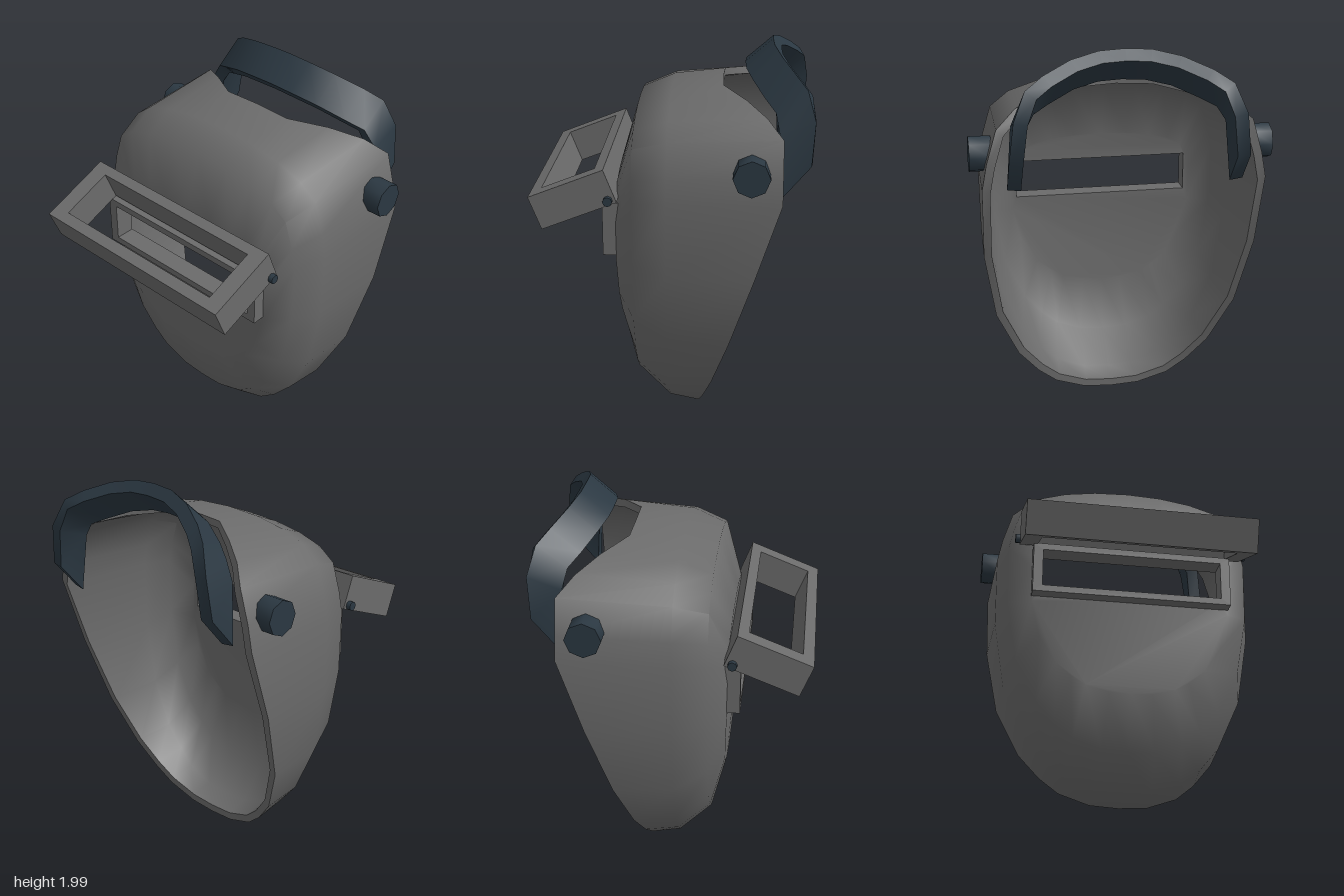
import * as THREE from 'three';
import { toCreasedNormals } from 'three/addons/utils/BufferGeometryUtils.js';

const shellGrey = new THREE.MeshStandardMaterial({ color: 0x6b6b6b });
shellGrey.name = 'shell grey';
const slateBlue = new THREE.MeshStandardMaterial({ color: 0x2b3842 });
slateBlue.name = 'dark slate';

const WINDOW = { x: 0.47, y0: 1.035, y1: 1.24 };

// Right half of the mask outline from chin to crown: x, y, z of the rear rim
const OUTLINE = [
  [0, 0.01, -0.11], [0.15, 0.02, -0.113], [0.31, 0.08, -0.133], [0.41, 0.165, -0.16],
  [0.52, 0.3, -0.204], [0.64, 0.57, -0.291], [0.7, 0.95, -0.414], [0.705, 1.34, -0.54],
  [0.68, 1.47, -0.54], [0.63, 1.64, -0.54], [0.53, 1.72, -0.46], [0.38, 1.77, -0.36],
  [0.2, 1.8, -0.245], [0, 1.81, -0.24],
];
const LOOP = [...OUTLINE, ...OUTLINE.slice(1, -1).reverse().map(([x, y, z]) => [-x, y, z])];

function addMesh(parent, name, geometry, material) {
  const mesh = new THREE.Mesh(geometry, material);
  mesh.name = name;
  parent.add(mesh);
  return mesh;
}

function fromTriangles(points, crease) {
  const g = new THREE.BufferGeometry();
  g.setAttribute('position', new THREE.Float32BufferAttribute(points.flat(), 3));
  return toCreasedNormals(g, crease);
}

function rectangle(Type, x, y0, y1) {
  const r = new Type();
  r.moveTo(-x, y0).lineTo(x, y0).lineTo(x, y1).lineTo(-x, y1).closePath();
  return r;
}

// Rectangular frame with a rectangular opening
function frameGeometry(outer, inner, depth) {
  const shape = rectangle(THREE.Shape, ...outer);
  shape.holes.push(rectangle(THREE.Path, ...inner));
  return new THREE.ExtrudeGeometry(shape, { depth, bevelEnabled: false });
}

// Outline fitted to a half width and height range; z is a number or the rim curve
function ring(halfWidth, y0, y1, z) {
  return LOOP.map(([x, y, rimZ]) => {
    const py = y0 + (y - 0.01) / 1.8 * (y1 - y0);
    return [x / 0.705 * halfWidth, py, z === 'rim' ? rimZ : z(py)];
  });
}

// Flat front of the shell with the viewing window cut out
function frontPanel(loop, zAt, flip) {
  const shape = new THREE.Shape(loop.map(([x, y]) => new THREE.Vector2(x, y)));
  shape.holes.push(rectangle(THREE.Path, WINDOW.x, WINDOW.y0, WINDOW.y1));
  const g = new THREE.ShapeGeometry(shape).toNonIndexed();
  const p = g.attributes.position;
  const out = [];
  for (let i = 0; i < p.count; i++) out.push([p.getX(i), p.getY(i), zAt(p.getY(i))]);
  return flip ? out.reverse() : out;
}

function shellGeometry() {
  const frontZ = (y) => 0.26 + 0.02 * Math.min(1, (y - 0.5) / 0.45);
  const innerZ = (y) => frontZ(y) - 0.04;
  const rings = [
    ring(0.52, 0.5, 1.4, frontZ),
    ring(0.64, 0.21, 1.71, () => 0.19),
    ring(0.69, 0.04, 1.78, () => 0.02),
    ring(0.705, 0.01, 1.81, 'rim'),
    ring(0.665, 0.05, 1.772, 'rim'),
    ring(0.65, 0.08, 1.74, () => 0.005),
    ring(0.605, 0.24, 1.675, () => 0.155),
    ring(0.5, 0.52, 1.38, innerZ),
  ];
  const tris = [
    ...frontPanel(rings[0], frontZ, false),
    ...frontPanel(rings[7], innerZ, true),
  ];
  for (let r = 0; r < rings.length - 1; r++) {
    const a = rings[r], b = rings[r + 1];
    for (let i = 0; i < a.length; i++) {
      const j = (i + 1) % a.length;
      tris.push(a[i], b[i], b[j], a[i], b[j], a[j]);
    }
  }
  return fromTriangles(tris, 0.95);
}

// Head strap: a flat band swept over the crown and down both sides
function strapGeometry() {
  // x, then y and z of the rear edge, then y and z of the front edge
  const half = [
    [0, 2.0, -0.49, 1.88, -0.35], [0.13, 1.993, -0.495, 1.873, -0.355],
    [0.27, 1.962, -0.53, 1.843, -0.39], [0.41, 1.905, -0.595, 1.785, -0.45],
    [0.5, 1.85, -0.65, 1.74, -0.5], [0.56, 1.71, -0.69, 1.65, -0.52],
    [0.585, 1.5, -0.675, 1.34, -0.54],
  ];
  const stations = [...half.slice(1).reverse().map(([x, ...s]) => [-x, ...s]), ...half];
  const back = stations.map(([x, y, z]) => new THREE.Vector3(x, y, z));
  const front = stations.map(([x, , , y, z]) => new THREE.Vector3(x, y, z));
  const last = stations.length - 1;
  const sections = stations.map((_, i) => {
    const h = Math.min(i + 1, last), l = Math.max(i - 1, 0);
    const tangent = back[h].clone().add(front[h]).sub(back[l]).sub(front[l]);
    const inward = tangent.cross(front[i].clone().sub(back[i])).setLength(0.068);
    return [back[i], front[i], front[i].clone().add(inward), back[i].clone().add(inward)]
      .map((v) => v.toArray());
  });
  const tris = [];
  for (let i = 0; i < last; i++) {
    for (let k = 0; k < 4; k++) {
      const n = (k + 1) % 4, s = sections[i], t = sections[i + 1];
      tris.push(s[k], s[n], t[n], s[k], t[n], t[k]);
    }
  }
  const s = sections[0], e = sections[last];
  tris.push(s[0], s[2], s[1], s[0], s[3], s[2], e[0], e[1], e[2], e[0], e[2], e[3]);
  return fromTriangles(tris, 0.9);
}

export function createModel() {
  const model = new THREE.Group();
  model.name = 'weldingMask';

  addMesh(model, 'shell', shellGeometry(), shellGrey);

  // Fixed frame around the viewing window
  const frame = frameGeometry([0.52, 1.0, 1.275], [WINDOW.x, WINDOW.y0, WINDOW.y1], 0.104);
  addMesh(model, 'windowFrame', frame, shellGrey).position.z = 0.241;

  // Raised lid and its hinge
  const lidGeometry = frameGeometry([0.59, -0.2, 0.2], [0.5, -0.14, 0.145], 0.177);
  lidGeometry.translate(0, 0, -0.0885);
  const lid = addMesh(model, 'flipLid', lidGeometry, shellGrey);
  lid.position.set(0, 1.312, 0.483);
  lid.rotation.x = -1.197;

  for (const side of [-1, 1]) {
    const name = side > 0 ? 'left' : 'right';
    const pin = new THREE.CylinderGeometry(0.024, 0.024, 0.05, 8).rotateZ(Math.PI / 2);
    addMesh(model, name + 'HingePin', toCreasedNormals(pin, 0.9), slateBlue)
      .position.set(side * 0.59, 1.312, 0.308);

    // Side adjustment knob
    const knob = new THREE.CylinderGeometry(0.09, 0.09, 0.11, 8).rotateZ(Math.PI / 2);
    addMesh(model, name + 'Knob', toCreasedNormals(knob, 0.9), slateBlue)
      .position.set(side * 0.702, 1.485, -0.39);
  }

  addMesh(model, 'headStrap', strapGeometry(), slateBlue);
  return model;
}
